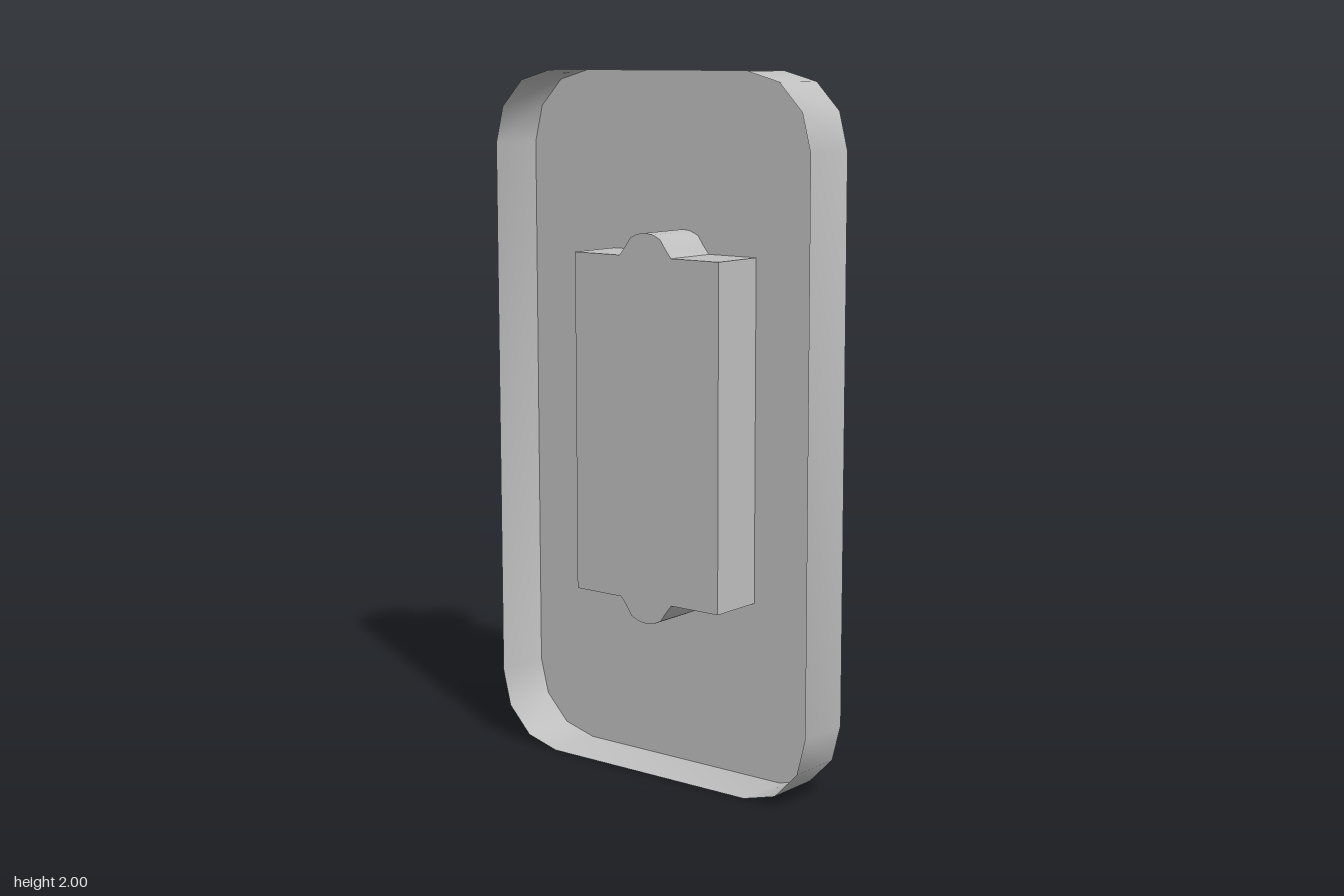
import * as THREE from 'three';
import { toCreasedNormals } from 'three/addons/utils/BufferGeometryUtils.js';

const DEPTH = 0.17;

// Repeats the outline of one quadrant around the centre, counter-clockwise
function mirrorOutline(quadrant) {
  const back = [...quadrant].reverse();
  const all = [
    ...quadrant,
    ...back.map(([x, y]) => [-x, y]),
    ...quadrant.map(([x, y]) => [-x, -y]),
    ...back.map(([x, y]) => [x, -y]),
  ];
  const points = all.map(([x, y]) => new THREE.Vector2(x, y + 1));
  return points.filter((p, i) => p.distanceTo(points[(i + 1) % points.length]) > 1e-4);
}

// Thin wall that follows a closed outline from z = 0 to z = DEPTH
function wallGeometry(points) {
  const positions = [];
  points.forEach((a, i) => {
    const b = points[(i + 1) % points.length];
    positions.push(a.x, a.y, 0, b.x, b.y, 0, b.x, b.y, DEPTH);
    positions.push(a.x, a.y, 0, b.x, b.y, DEPTH, a.x, a.y, DEPTH);
  });
  const geometry = new THREE.BufferGeometry();
  geometry.setAttribute('position', new THREE.Float32BufferAttribute(positions, 3));
  return toCreasedNormals(geometry, Math.PI / 4.5);
}

export function createModel() {
  const group = new THREE.Group();
  const metal = new THREE.MeshStandardMaterial({ color: 0xc0c0c0, side: THREE.DoubleSide });
  metal.name = 'grey metal';

  function add(name, geometry, parent = group) {
    const mesh = new THREE.Mesh(geometry, metal);
    mesh.name = name;
    parent.add(mesh);
    return mesh;
  }

  const rim = mirrorOutline([[0.557, 0.79], [0.53, 0.895], [0.455, 0.972], [0.35, 1]]);
  const pocket = mirrorOutline([
    [0.257, 0.49], [0.092, 0.49], [0.073, 0.513], [0.053, 0.541], [0.028, 0.552], [0, 0.556],
  ]);

  // Back plate with the pocket opening, facing backwards
  const plateShape = new THREE.Shape(rim);
  plateShape.holes.push(new THREE.Path(pocket));
  add('backPlate', new THREE.ShapeGeometry(plateShape));

  // Thin outer rim, open at the front
  add('rim', wallGeometry(rim));

  // Pocket pushed forward to the level of the rim
  add('pocketWalls', wallGeometry(pocket));
  add('pocketFace', new THREE.ShapeGeometry(new THREE.Shape(pocket))).position.z = DEPTH;

  // Four domed hexagonal nuts on the back
  const hexGeometry = new THREE.CylinderGeometry(0.111, 0.111, 0.095, 6)
    .rotateY(Math.PI / 2).translate(0, 0.0475, 0).rotateX(-Math.PI / 2);
  const domeGeometry = new THREE.SphereGeometry(0.096, 16, 6, 0, Math.PI * 2, 0, Math.PI / 2)
    .scale(1, 0.8, 1).translate(0, 0.095, 0).rotateX(-Math.PI / 2);
  const nutGeometry = toCreasedNormals(hexGeometry, 0.5);
  for (const x of [-0.367, 0.367]) {
    for (const y of [0.185, 1.785]) {
      const nut = new THREE.Group();
      nut.name = (y > 1 ? 'upper' : 'lower') + (x > 0 ? 'Left' : 'Right') + 'Nut';
      nut.position.set(x, y, 0);
      add('hexBody', nutGeometry, nut);
      add('dome', domeGeometry, nut);
      group.add(nut);
    }
  }
  return group;
}
